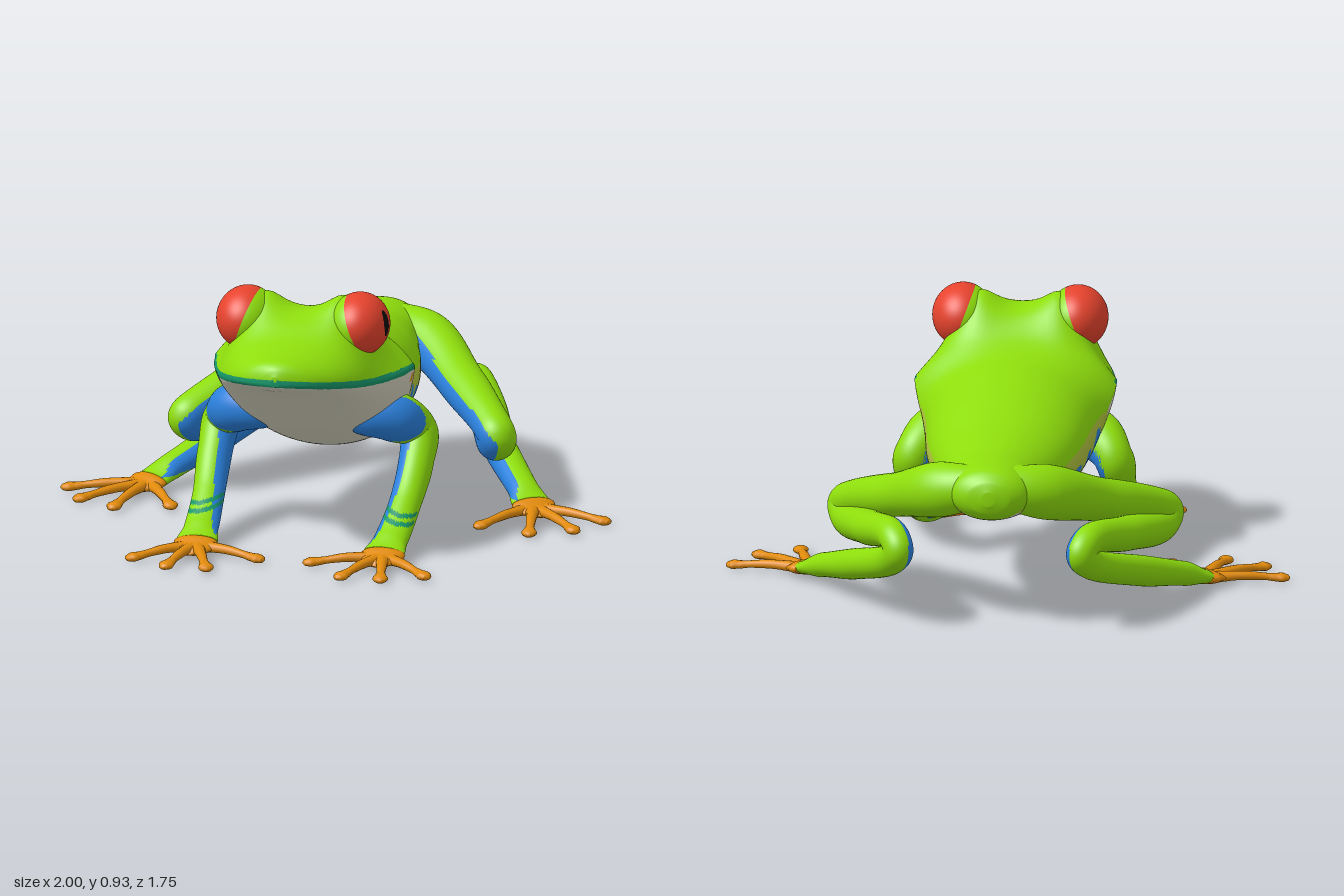
import * as THREE from 'three';

const mat = (name, color) => Object.assign(new THREE.MeshStandardMaterial({ color }), { name });
const MATS = [
  mat('leafGreen', 0x8edd0c), mat('bellyCream', 0xd8d5c0), mat('lipTeal', 0x17966a),
  mat('flankBlue', 0x2a80dc), mat('flankOlive', 0xb0c23e), mat('toeOrange', 0xe08a0c),
  mat('eyeRed', 0xe6432d), mat('pupilBlack', 0x0c0c0c),
];
const [GREEN, CREAM, TEAL, BLUE, OLIVE, ORANGE, RED, BLACK] = MATS.keys();
const V = (x, y, z) => new THREE.Vector3(x, y, z);

// Sort triangles into one material group per colour, chosen by rule(centre, normal)
function paint(geo, rule) {
  const pos = geo.attributes.position, idx = geo.index.array, lists = MATS.map(() => []);
  const tri = new THREE.Triangle(), c = V(), n = V();
  for (let i = 0; i < idx.length; i += 3) {
    tri.setFromAttributeAndIndices(pos, idx[i], idx[i + 1], idx[i + 2]);
    tri.getMidpoint(c);
    tri.getNormal(n);
    lists[rule(c, n)].push(idx[i], idx[i + 1], idx[i + 2]);
  }
  geo.setIndex(lists.flat());
  let start = 0;
  lists.forEach((l, m) => {
    if (l.length) geo.addGroup(start, l.length, m);
    start += l.length;
  });
  return geo;
}

// Closed smooth skin over rings of points, counter-clockwise about the path
function skin(rings) {
  const n = rings[0].length, last = rings.length - 1, pts = rings.flat(), index = [];
  const mid = ring => ring.reduce((s, p) => s.add(p), V(0, 0, 0)).divideScalar(n);
  const a = pts.push(mid(rings[0])) - 1, b = pts.push(mid(rings[last])) - 1;
  for (let j = 0; j < n; j++) {
    const k = (j + 1) % n;
    index.push(a, k, j, b, last * n + j, last * n + k);
    for (let i = 0; i < last; i++) {
      const p = i * n + j, q = i * n + k;
      index.push(p, q, p + n, q, q + n, p + n);
    }
  }
  const geo = new THREE.BufferGeometry().setFromPoints(pts);
  geo.setIndex(index);
  geo.computeVertexNormals();
  return geo;
}

// Tube through rows [x, y, z, radius along ref, radius across]
function limb(rows, ref, steps, sides) {
  const curve = new THREE.CatmullRomCurve3(rows.map(r => V(r[0], r[1], r[2])));
  const rings = [], total = steps * (rows.length - 1);
  for (let i = 0; i <= total; i++) {
    const k = Math.min(Math.floor(i / steps), rows.length - 2);
    const f = THREE.MathUtils.smoothstep(i / steps - k, 0, 1);
    const rad = c => THREE.MathUtils.lerp(rows[k][c], rows[k + 1][c], f);
    const c = curve.getPoint(i / total), T = curve.getTangent(i / total);
    const N = ref.clone().addScaledVector(T, -ref.dot(T)).normalize(), B = V().crossVectors(T, N);
    rings.push(Array.from({ length: sides }, (_, j) => {
      const a = j / sides * Math.PI * 2;
      return c.clone().addScaledVector(N, rad(3) * Math.cos(a)).addScaledVector(B, rad(4) * Math.sin(a));
    }));
  }
  return skin(rings);
}

// Body sections from rump to snout: z, half width, top, widest height, bottom
const BODY = [
  [-0.88, 0.02, 0.515, 0.49, 0.465], [-0.865, 0.08, 0.55, 0.49, 0.43], [-0.82, 0.135, 0.583, 0.49, 0.40],
  [-0.72, 0.165, 0.597, 0.48, 0.375], [-0.6, 0.18, 0.602, 0.47, 0.35], [-0.4, 0.235, 0.632, 0.47, 0.31],
  [-0.2, 0.28, 0.68, 0.48, 0.275], [0, 0.305, 0.725, 0.50, 0.267], [0.1, 0.325, 0.742, 0.54, 0.285],
  [0.2, 0.358, 0.78, 0.625, 0.32], [0.3, 0.345, 0.845, 0.628, 0.37], [0.4, 0.322, 0.862, 0.633, 0.43],
  [0.5, 0.29, 0.842, 0.642, 0.50], [0.6, 0.25, 0.802, 0.655, 0.57], [0.7, 0.188, 0.777, 0.672, 0.63],
  [0.77, 0.12, 0.766, 0.686, 0.658], [0.803, 0.055, 0.746, 0.693, 0.674], [0.815, 0.015, 0.72, 0.696, 0.685],
];
const bump = (v, centre, spread) => Math.exp(-(((v - centre) / spread) ** 2));

function bodyGeometry() {
  const rings = [], steps = 9, sides = 128;
  const slope = (k, c) => {
    const a = BODY[Math.max(k - 1, 0)], b = BODY[Math.min(k + 1, BODY.length - 1)];
    return (b[c] - a[c]) / (b[0] - a[0]);
  };
  for (let i = 0; i <= steps * (BODY.length - 1); i++) {
    const k = Math.min(Math.floor(i / steps), BODY.length - 2), t = i / steps - k;
    const [p, q] = [BODY[k], BODY[k + 1]], h = q[0] - p[0];
    const [z, w, top, mid, bottom] = p.map((v, c) => {
      const t2 = t * t, t3 = t2 * t;
      return (2 * t3 - 3 * t2 + 1) * v + (t3 - 2 * t2 + t) * h * slope(k, c)
        + (3 * t2 - 2 * t3) * q[c] + (t3 - t2) * h * slope(k + 1, c);
    });
    rings.push(Array.from({ length: sides }, (_, j) => {
      // points gather at the mouth line
      const u = j / sides * Math.PI * 2, a = u - 0.3 * Math.sin(2 * u), s = Math.sin(a), e = Math.abs(s);
      // cheeks pinch in above and below the lip, brows rise beside the eyes
      const pinch = (s > 0 ? 0.5 : 0.16) * bump(z, 0.35, 0.2) * e * (1 - e);
      const x = w * Math.cos(a) * (1 - pinch);
      const brow = 0.09 * bump(Math.abs(x), 0.16, 0.08) * bump(z, 0.375, 0.125);
      return V(x, mid + (s > 0 ? (top - mid + brow) * s : (mid - bottom) * s), z);
    }));
  }
  return skin(rings);
}

// Flank spots: z, y, half length, half height
const SPOTS = [[0.03, 0.43, 0.055, 0.08], [-0.1, 0.43, 0.042, 0.04], [-0.25, 0.415, 0.055, 0.033], [-0.66, 0.41, 0.09, 0.045]];
const inSpot = (z, y, s) => ((z - s[0]) / s[2]) ** 2 + ((y - s[1]) / s[3]) ** 2 < 1;

function bodyColour({ x, y, z }) {
  if (Math.abs(x) > 0.1 && inSpot(z, y, [0.212, 0.585, 0.013, 0.016])) return ORANGE;
  if (z > 0.2) {
    const lip = 0.625 + 0.07 * ((z - 0.2) / 0.61) ** 2;
    return y > lip + 0.013 ? GREEN : y > lip - 0.013 ? TEAL : CREAM;
  }
  const edge = z > 0.12 ? 0.55 + (z - 0.12) * 0.8 : 0.55 + (z - 0.12) * 0.115;
  if (y > edge || z < -0.82) return GREEN;
  if (Math.abs(x) > 0.1 && SPOTS.some(s => inSpot(z, y, s))) return BLUE;
  return z < 0.13 && y > 0.385 - z * 0.05 ? OLIVE : CREAM;
}

// Arm and leg paths: x, y, z, radius sideways, radius in the bending plane
const ARM = [
  [0.1, 0.475, 0.22, 0.02, 0.02], [0.19, 0.455, 0.255, 0.08, 0.08], [0.285, 0.437, 0.215, 0.09, 0.09],
  [0.355, 0.37, 0.14, 0.07, 0.075], [0.365, 0.27, 0.21, 0.062, 0.066], [0.355, 0.145, 0.35, 0.057, 0.054],
  [0.345, 0.065, 0.5, 0.062, 0.04], [0.34, 0.038, 0.59, 0.075, 0.026],
];
const LEG = [
  [0, 0.49, -0.72, 0.04, 0.04], [0.08, 0.495, -0.745, 0.085, 0.085], [0.19, 0.472, -0.69, 0.098, 0.098],
  [0.37, 0.385, -0.46, 0.085, 0.078], [0.525, 0.31, -0.24, 0.07, 0.066], [0.565, 0.275, -0.187, 0.067, 0.066],
  [0.55, 0.24, -0.23, 0.068, 0.064], [0.455, 0.275, -0.5, 0.07, 0.062], [0.345, 0.318, -0.77, 0.055, 0.055],
  [0.325, 0.28, -0.81, 0.053, 0.057], [0.35, 0.235, -0.765, 0.055, 0.055], [0.5, 0.14, -0.5, 0.06, 0.055],
  [0.635, 0.07, -0.27, 0.056, 0.044], [0.69, 0.038, -0.18, 0.07, 0.027],
];
const ARM_IN = V(-0.93, -0.22, 0.25), THIGH_IN = V(-0.75, -0.5, 0.45), SHIN_IN = V(-0.85, -0.1, 0.5);

function armColour(p, n) {
  if (inSpot(p.z, p.y, [0.28, 0.44, 0.085, 0.09])) return BLUE;
  // thin wrist bands
  const band = p.y + (p.x - 0.35) * 0.2;
  if (n.y > 0.1 && p.z < 0.53 && ((band > 0.116 && band < 0.128) || (band > 0.138 && band < 0.15))) return TEAL;
  return p.y > 0.06 && n.dot(ARM_IN) > 0.36 ? BLUE : GREEN;
}

function legColour(p, n) {
  const thigh = p.y > 0.29 - 0.24 * (p.z + 0.2);
  return p.y > 0.055 && (thigh ? n.dot(THIGH_IN) > 0.45 : n.dot(SHIN_IN) > 0.3) ? BLUE : GREEN;
}

export function createModel() {
  const frog = new THREE.Group();
  frog.name = 'treeFrog';
  const add = (name, geo, material) => {
    const mesh = new THREE.Mesh(geo, material);
    mesh.name = name;
    frog.add(mesh);
  };
  // Left part plus its mirror image, with corner order reversed
  const pair = (name, geo, material = MATS) => {
    add('left' + name, geo, material);
    const flip = geo.clone().scale(-1, 1, 1), a = flip.index.array;
    for (let i = 0; i < a.length; i += 3) [a[i], a[i + 1]] = [a[i + 1], a[i]];
    add('right' + name, flip, material);
  };

  add('body', paint(bodyGeometry(), bodyColour), MATS);

  // Eyes: red outer face, green inner lid, upright pupil
  const eye = new THREE.SphereGeometry(1, 80, 64).rotateZ(-1.2);
  paint(eye, p => {
    if (p.x > 0 && inSpot(p.z, p.y, [0.18, 0.12, 0.15, 0.42])) return BLACK;
    return p.x * 0.93 + p.y * 0.36 > -0.05 ? RED : GREEN;
  });
  pair('Eye', eye.scale(0.108, 0.113, 0.133).translate(0.204, 0.818, 0.392));

  pair('FrontLeg', paint(limb(ARM, V(1, 0, 0), 16, 48), armColour));
  pair('HindLeg', paint(limb(LEG, V(0.85, 0, -0.5), 14, 48), legColour));

  // Feet: flat palm and slim toes ending in round pads
  const UP = V(0, 1, 0), orange = MATS[ORANGE];
  const foot = (name, [px, pz], [dx, dz], tips) => {
    const at = (d, y, v, h) => [px + dx * d, y, pz + dz * d, v, h];
    pair(name + 'Palm', limb([at(-0.03, 0.038, 0.024, 0.07), at(0, 0.036, 0.027, 0.08), at(0.04, 0.028, 0.02, 0.07),
      at(0.08, 0.024, 0.014, 0.045), at(0.1, 0.02, 0.004, 0.012)], UP, 6, 20), orange);
    tips.forEach(([tx, tz], i) => {
      const len = Math.hypot(tx - px, tz - pz);
      const on = (back, y, v, h) => {
        const f = 1 - back / len;
        return [px + (tx - px) * f, y, pz + (tz - pz) * f, v, h];
      };
      pair(name + 'Toe' + (i + 1), limb([on(len - 0.02, 0.028, 0.02, 0.028), on(len * 0.55, 0.03, 0.016, 0.019),
        on(0.085, 0.022, 0.013, 0.015), on(0.055, 0.018, 0.014, 0.021), on(0.028, 0.016, 0.016, 0.028),
        on(0.008, 0.014, 0.011, 0.019), on(0, 0.013, 0.003, 0.005)], UP, 4, 14), orange);
    });
  };
  foot('Front', [0.34, 0.6], [0, 1], [[0.07, 0.69], [0.235, 0.865], [0.395, 0.87], [0.55, 0.785]]);
  foot('Hind', [0.7, -0.17], [0.55, 0.83], [[0.55, 0.085], [0.76, 0.148], [0.915, 0.065], [1, -0.09]]);
  return frog;
}
